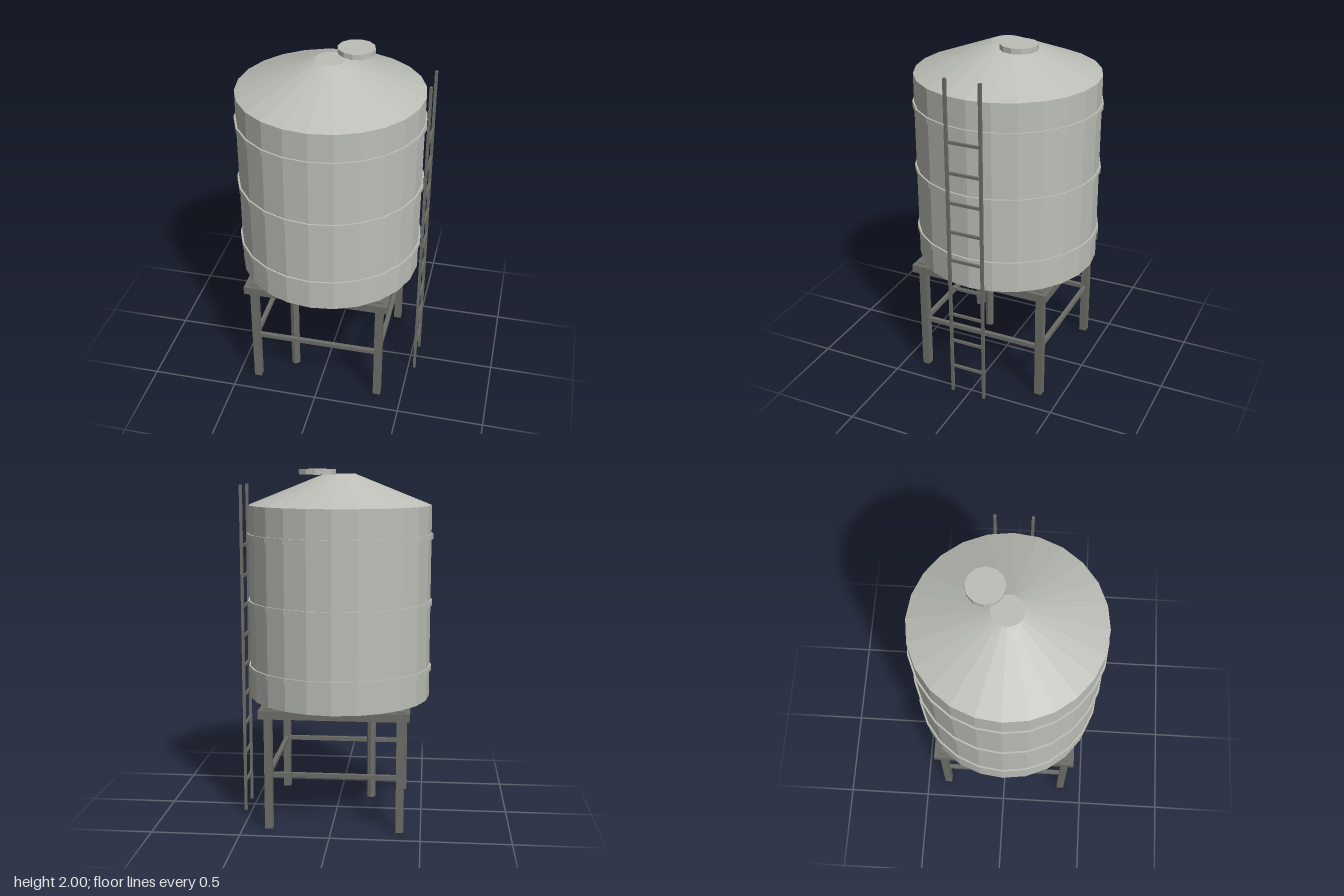
import * as THREE from 'three';

const CX = -0.015; // tank and stand axis

export function createModel() {
  const model = new THREE.Group();
  model.name = 'waterTank';
  const shell = new THREE.MeshStandardMaterial({ color: 0xbcbeb7, flatShading: true });
  const steel = new THREE.MeshStandardMaterial({ color: 0x6c6d67, flatShading: true });

  const add = (parent, name, geometry, material, x, y, z) => {
    const mesh = new THREE.Mesh(geometry, material);
    mesh.name = name;
    mesh.position.set(x, y, z);
    parent.add(mesh);
    return mesh;
  };
  // Cylinders and boxes placed by their bottom and top heights
  const cyl = (parent, name, mat, rTop, rBottom, y0, y1, sides, x, z) =>
    add(parent, name, new THREE.CylinderGeometry(rTop, rBottom, y1 - y0, sides), mat, x, (y0 + y1) / 2, z);
  const box = (parent, name, w, y0, y1, d, x, z) =>
    add(parent, name, new THREE.BoxGeometry(w, y1 - y0, d), steel, x, (y0 + y1) / 2, z);
  const group = (name) => {
    const g = new THREE.Group();
    g.name = name;
    model.add(g);
    return g;
  };

  // Tank body, conical roof, hoops and hatch
  const tank = group('tank');
  cyl(tank, 'tankBody', shell, 0.52, 0.52, 0.7, 1.8, 24, CX, 0);
  cyl(tank, 'roof', shell, 0.087, 0.52, 1.8, 1.973, 24, CX, 0);
  for (const y of [0.87, 1.248, 1.625]) {
    cyl(tank, 'hoop', shell, 0.53, 0.53, y - 0.016, y + 0.016, 24, CX, 0);
  }
  cyl(tank, 'hatch', shell, 0.104, 0.104, 1.97, 2, 12, 0.1, -0.117);

  // Stand: platform, four legs, four cross braces
  const stand = group('stand');
  box(stand, 'platform', 0.835, 0.645, 0.692, 0.835, CX, 0);
  const LEG = 0.368;
  for (const s of [-1, 1]) {
    for (const t of [-1, 1]) box(stand, 'leg', 0.044, 0, 0.7, 0.044, CX + s * LEG, t * LEG);
    box(stand, 'sideBrace', 0.024, 0.304, 0.328, LEG * 2, CX + s * LEG, 0);
    box(stand, 'crossBrace', LEG * 2, 0.304, 0.328, 0.024, CX, s * LEG);
  }

  // Outlet pipe under the tank
  cyl(model, 'outletPipe', steel, 0.027, 0.027, 0, 0.7, 8, -0.19, 0.211);

  // Ladder on the left side
  const ladder = group('ladder');
  const LX = 0.537;
  for (const s of [-1, 1]) box(ladder, 'rail', 0.016, 0, 1.914, 0.016, LX, s * 0.099);
  for (let i = 1; i <= 9; i++) {
    const y = i * 0.1743;
    box(ladder, 'rung', 0.013, y - 0.0075, y + 0.0075, 0.198, LX, 0);
  }
  return model;
}
